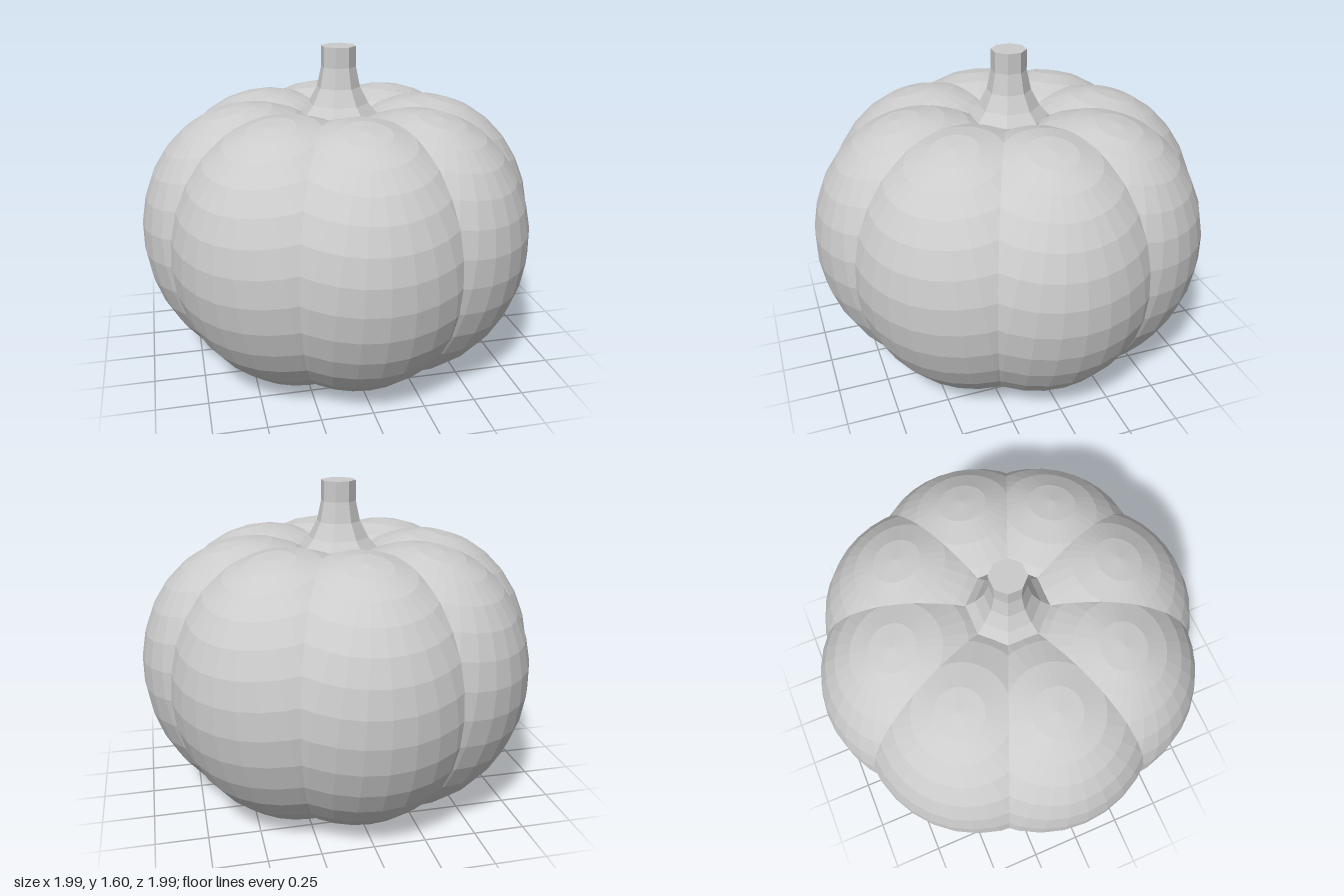
import * as THREE from 'three';

const material = new THREE.MeshStandardMaterial({ color: 0xcccccc, flatShading: true });

// Presses everything below y = 0 flat onto the ground, with a clean cut line
function flattenBase(geometry) {
  const source = geometry.toNonIndexed().attributes.position;
  const out = [];
  const addFan = (poly) => {
    for (let i = 1; i + 1 < poly.length; i++) {
      for (const p of [poly[0], poly[i], poly[i + 1]]) out.push(p.x, Math.max(p.y, 0), p.z);
    }
  };
  for (let t = 0; t < source.count; t += 3) {
    const corners = [0, 1, 2].map((k) => new THREE.Vector3().fromBufferAttribute(source, t + k));
    const above = [], below = [];
    corners.forEach((a, k) => {
      const b = corners[(k + 1) % 3];
      (a.y >= 0 ? above : below).push(a);
      if ((a.y >= 0) !== (b.y >= 0)) {
        const cut = a.clone().lerp(b, a.y / (a.y - b.y));
        above.push(cut);
        below.push(cut);
      }
    });
    addFan(above);
    addFan(below);
  }
  const result = new THREE.BufferGeometry();
  result.setAttribute('position', new THREE.Float32BufferAttribute(out, 3));
  result.computeVertexNormals();
  return result;
}

export function createModel() {
  const model = new THREE.Group();
  model.name = 'pumpkin';

  // Eight overlapping ellipsoid lobes, each leaning outward at the top
  const ellipsoid = new THREE.SphereGeometry(1, 32, 16);
  ellipsoid.scale(0.6, 0.685, 0.6);
  ellipsoid.rotateX(THREE.MathUtils.degToRad(15));
  ellipsoid.translate(0, 0.655, 0.394);
  const lobeGeometry = flattenBase(ellipsoid);

  const body = new THREE.Group();
  body.name = 'body';
  for (let i = 0; i < 8; i++) {
    const lobe = new THREE.Mesh(lobeGeometry, material);
    lobe.name = `lobe${i + 1}`;
    lobe.rotation.y = (i * Math.PI) / 4;
    body.add(lobe);
  }
  model.add(body);

  // Octagonal stem flaring into the hollow; radii are given across the flats
  const profile = [
    [0, 1.2], [0.185, 1.2], [0.183, 1.27], [0.14, 1.32],
    [0.1, 1.4], [0.08, 1.5], [0.08, 1.6], [0, 1.6],
  ].map(([r, y]) => new THREE.Vector2(r / Math.cos(Math.PI / 8), y));
  const stem = new THREE.Mesh(new THREE.LatheGeometry(profile, 8), material);
  stem.name = 'stem';
  stem.rotation.y = Math.PI / 8;
  model.add(stem);

  return model;
}
